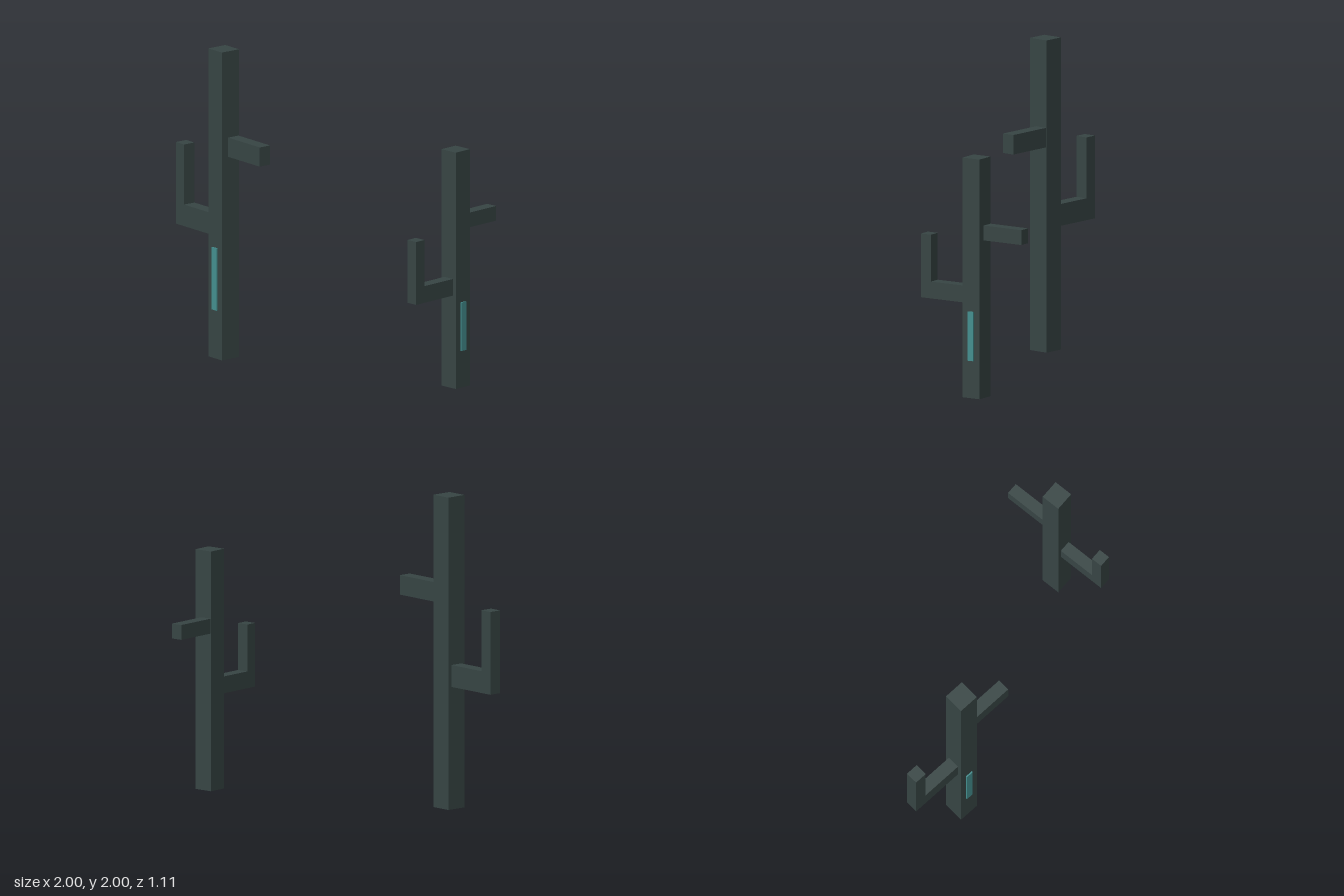
import * as THREE from 'three';

const darkGreen = new THREE.MeshStandardMaterial({ name: 'darkGreen', color: 0x374544, flatShading: true });
const teal = new THREE.MeshStandardMaterial({ name: 'teal', color: 0x448f8f, flatShading: true });

// Box given by its minimum and maximum corners
function block(name, min, max, material = darkGreen) {
  const size = max.map((v, i) => v - min[i]);
  const mesh = new THREE.Mesh(new THREE.BoxGeometry(...size), material);
  mesh.position.set(...max.map((v, i) => (v + min[i]) / 2));
  mesh.name = name;
  return mesh;
}

// One cactus around its own trunk axis, bent arm on -x, straight arm on +x
function cactus(name, c) {
  const g = new THREE.Group();
  g.name = name;
  const h = c.trunk / 2, w = c.armDepth / 2, b = c.bent, s = c.straight, p = c.panel;
  g.add(
    block('trunk', [-h, 0, -h], [h, c.height, h]),
    block('bentArmBase', [-b.reach, b.bottom, -w], [-h, b.elbow, w]),
    block('bentArmUpright', [-b.reach, b.elbow, -w], [-b.reach + b.thick, b.top, w]),
    block('straightArm', [h, s.bottom, s.z - w], [s.reach, s.top, s.z + w]),
    block('frontPanel', [-p.width / 2, p.bottom, h], [p.width / 2, p.top, h + 0.009], teal)
  );
  return g;
}

export function createModel() {
  const model = new THREE.Group();
  model.name = 'cactusPair';

  const tall = cactus('tallCactus', {
    height: 2, trunk: 0.137, armDepth: 0.083,
    bent: { reach: 0.431, bottom: 0.785, elbow: 0.925, top: 1.315, thick: 0.083 },
    straight: { reach: 0.388, bottom: 1.315, top: 1.44, z: -0.023 },
    panel: { width: 0.05, bottom: 0.315, top: 0.72 }
  });
  tall.position.set(-0.569, 0, 0.48);

  const small = cactus('smallCactus', {
    height: 1.535, trunk: 0.127, armDepth: 0.077,
    bent: { reach: 0.393, bottom: 0.602, elbow: 0.71, top: 1.01, thick: 0.075 },
    straight: { reach: 0.348, bottom: 1.01, top: 1.105, z: -0.024 },
    panel: { width: 0.043, bottom: 0.24, top: 0.555 }
  });
  small.position.set(0.909, 0, -0.21);
  small.rotation.y = THREE.MathUtils.degToRad(97);

  model.add(tall, small);
  return model;
}
